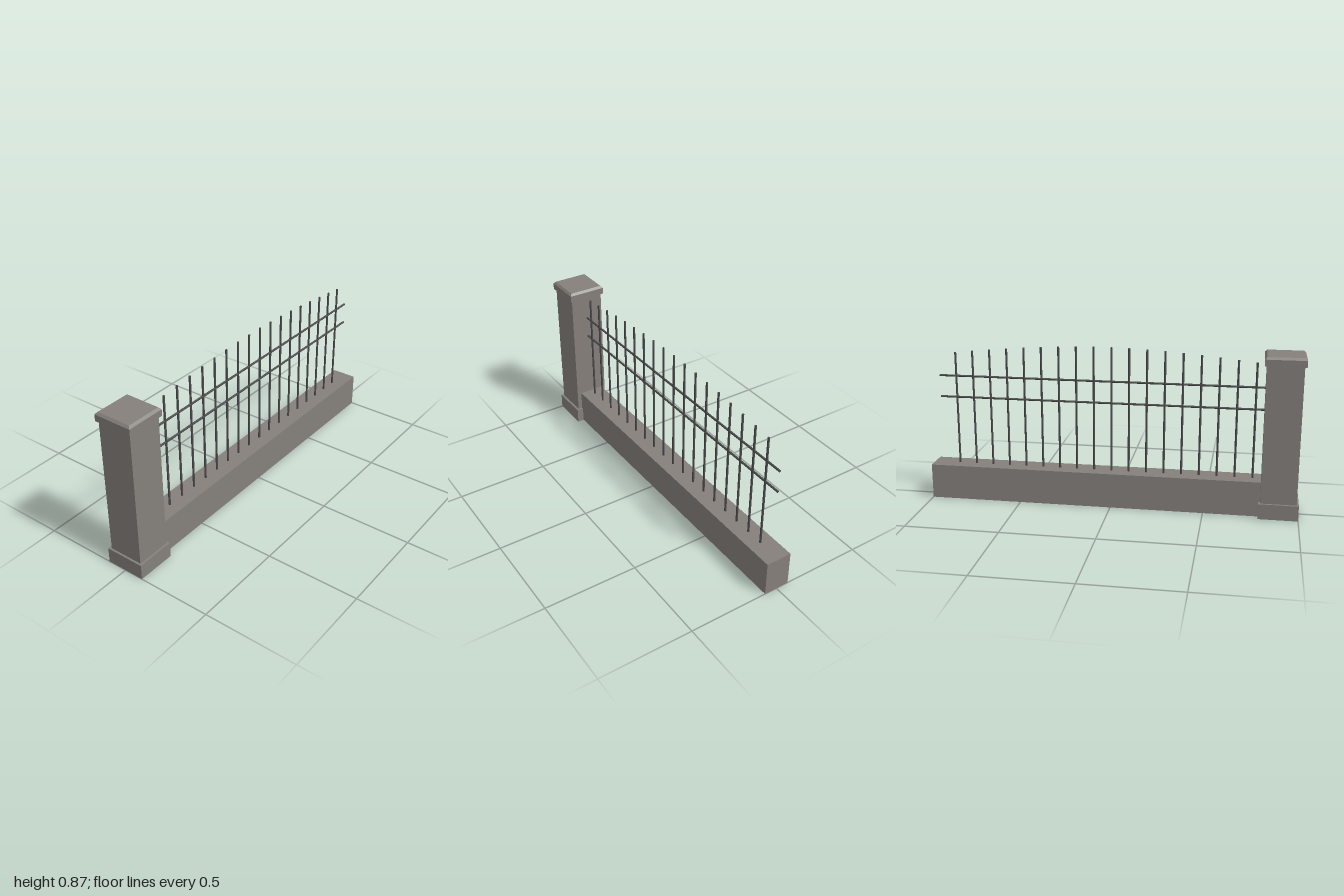
import * as THREE from 'three';

export function createModel() {
  const fence = new THREE.Group();
  fence.name = 'fenceSection';

  const stone = new THREE.MeshStandardMaterial({ color: 0x85807b, flatShading: true });
  stone.name = 'warm grey stone';
  const iron = new THREE.MeshStandardMaterial({ color: 0x4c4c4d, flatShading: true });
  iron.name = 'dark iron';

  const add = (name, geometry, material, x, y, z = 0) => {
    const mesh = new THREE.Mesh(geometry, material);
    mesh.name = name;
    mesh.position.set(x, y, z);
    fence.add(mesh);
    return mesh;
  };
  // Box given by its bottom and top heights
  const block = (name, x, width, bottom, top, depth) =>
    add(name, new THREE.BoxGeometry(width, top - bottom, depth), stone, x, (bottom + top) / 2);

  // Stone pillar with plinth and bevelled cap
  const pillarX = -0.895;
  block('pillarPlinth', pillarX, 0.21, 0, 0.083, 0.214);
  block('pillarShaft', pillarX, 0.188, 0.083, 0.818, 0.188);
  block('pillarCap', pillarX, 0.21, 0.818, 0.853, 0.21);
  const bevel = new THREE.CylinderGeometry(0.094 * Math.SQRT2, 0.105 * Math.SQRT2, 0.012, 4);
  bevel.rotateY(Math.PI / 4);
  add('pillarCapBevel', bevel, stone, pillarX, 0.859);

  // Low wall
  block('lowWall', 0.1, 1.8, 0, 0.19, 0.14);

  // Two horizontal rails
  for (const y of [0.566, 0.684]) {
    const rail = new THREE.CylinderGeometry(0.0058, 0.0058, 1.755, 8);
    rail.rotateZ(Math.PI / 2);
    add('rail', rail, iron, 0.0725, y);
  }

  // Upright bars whose tops follow a shallow arch
  const count = 18, base = 0.18;
  for (let i = 0; i < count; i++) {
    const u = (2 * i) / (count - 1) - 1;
    const top = 0.814 + 0.054 * Math.cos((u * Math.PI) / 2);
    add('bar', new THREE.CylinderGeometry(0.0058, 0.0058, top - base, 8), iron,
      0.051 + 0.806 * u, (top + base) / 2);
  }
  return fence;
}
